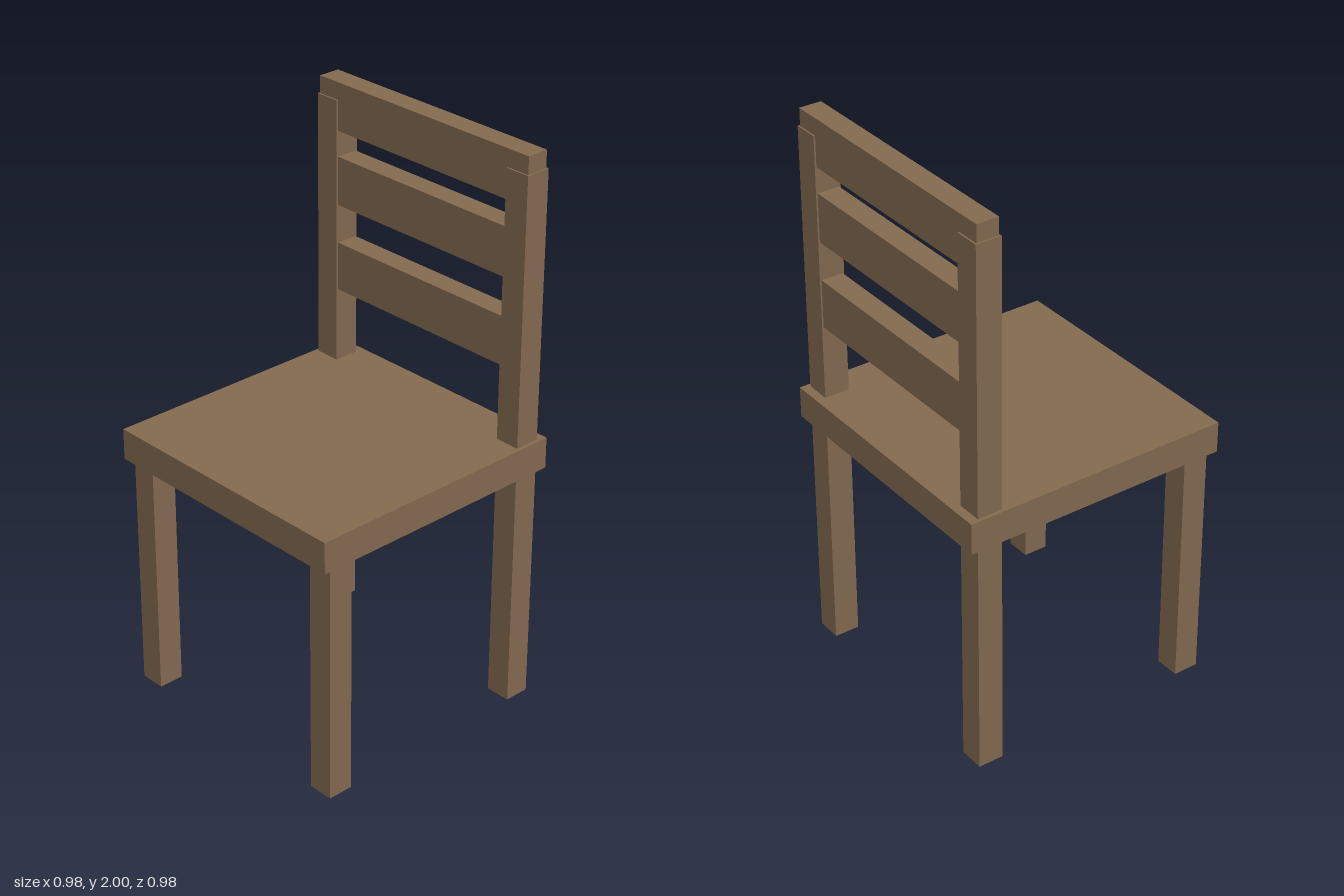
import * as THREE from 'three';

export function createModel() {
  const chair = new THREE.Group();
  chair.name = 'chair';
  const wood = new THREE.MeshStandardMaterial({ color: 0x846a50, flatShading: true });

  // Box given by its centre in x and z, its bottom and top, and its width and depth
  function addBox(name, x, z, bottom, top, width, depth) {
    const mesh = new THREE.Mesh(new THREE.BoxGeometry(width, top - bottom, depth), wood);
    mesh.name = name;
    mesh.position.set(x, (bottom + top) / 2, z);
    chair.add(mesh);
  }

  const seatBottom = 0.872, seatTop = 0.984;
  const legSize = 0.092, legX = 0.432, legZ = 0.412;

  addBox('seat', 0, 0, seatBottom, seatTop, 0.982, 0.982);

  // Front legs stop under the seat; rear legs carry on up as back posts
  for (const [side, s] of [['left', 1], ['right', -1]]) {
    addBox(side + 'FrontLeg', s * legX, legZ, 0, seatBottom, legSize, legSize);
    addBox(side + 'RearLeg', s * legX, -legZ, 0, seatBottom, legSize, legSize);
    addBox(side + 'BackPost', s * legX, -legZ, seatTop, 1.938, legSize, legSize);
  }

  // Back slats, slightly thinner than the posts; the top one rises above them
  const slats = [['lowerSlat', 1.252, 1.426], ['middleSlat', 1.564, 1.738], ['topSlat', 1.83, 2]];
  for (const [name, bottom, top] of slats) {
    addBox(name, 0, -legZ, bottom, top, 0.946, 0.08);
  }

  return chair;
}
